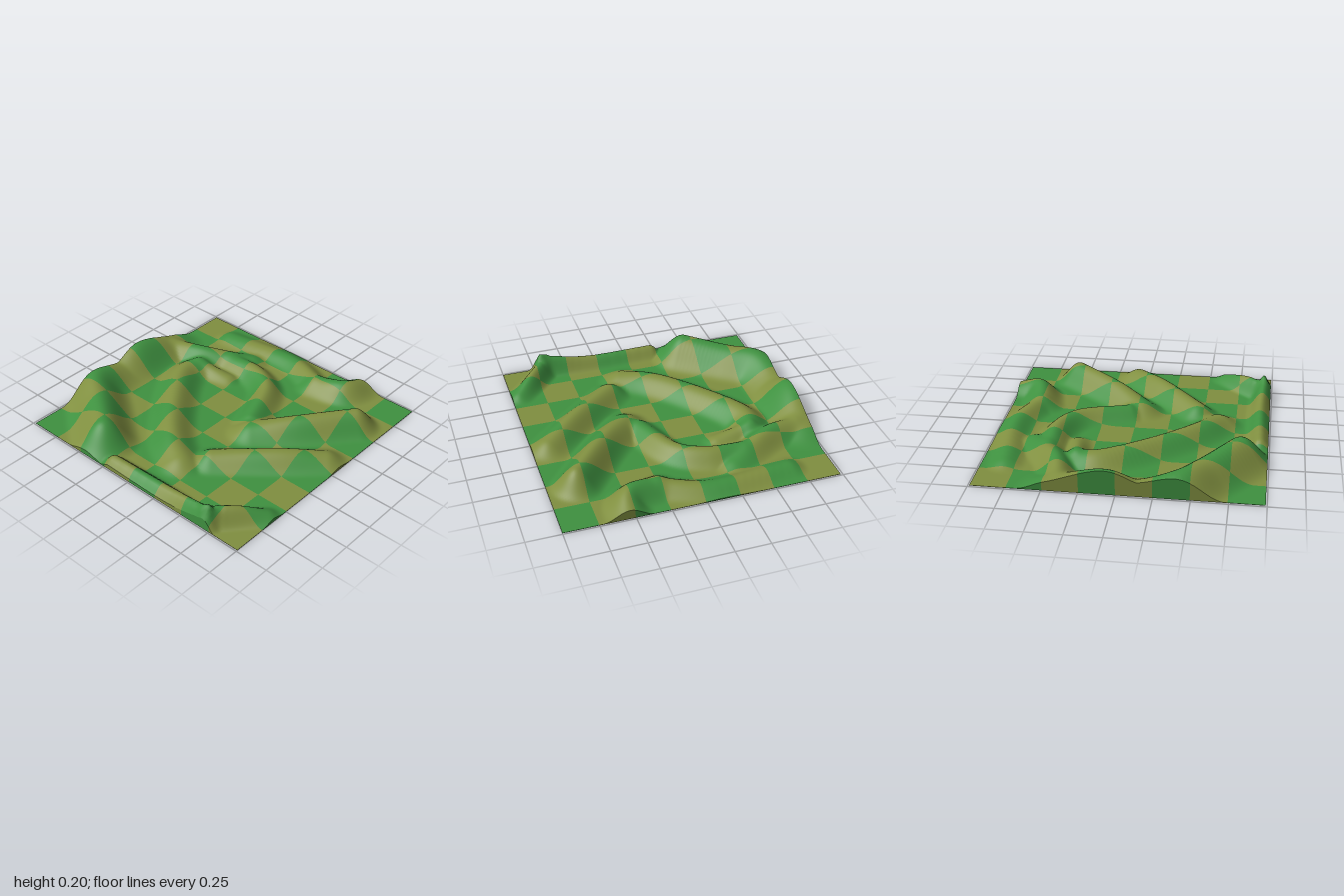
import * as THREE from 'three';

const CELLS = 8, SUB = 16;
const X0 = -0.99, Z0 = -0.985, WIDTH = 1.98, DEPTH = 1.985;
const THICKNESS = 0.002;

// A ridge: half width, then a smooth crest line through [x, z, height] points
function ridge(halfWidth, ...points) {
  const crest = new THREE.CatmullRomCurve3(points.map(([x, z, h]) => new THREE.Vector3(x, h, z)));
  return { halfWidth, samples: crest.getPoints(60) };
}

// Massif curling along the back, with a spur towards the left side
const massif = ridge(0.27, [-0.8, -0.44, 0.2], [-0.58, -0.73, 0.175], [-0.42, -0.92, 0.18],
  [-0.13, -0.98, 0.11], [0.07, -0.98, 0.185], [0.42, -0.95, 0.08]);
const spur = ridge(0.17, [0.4, -0.88, 0.09], [0.46, -0.65, 0.11], [0.66, -0.32, 0.05]);

// Spiral around the basin
const innerRidge = ridge(0.2, [-0.61, 0.13, 0.075], [-0.49, -0.06, 0.1], [-0.19, -0.34, 0.105],
  [0.18, -0.58, 0.105], [0.33, -0.57, 0.09]);
const innerSpur = ridge(0.12, [0.33, -0.57, 0.09], [0.37, -0.3, 0.04]);
const hook = ridge(0.16, [0.55, -0.42, 0.08], [0.54, -0.16, 0.1], [0.43, 0.04, 0.1], [0.07, 0.2, 0.085]);

// Diagonal front ridges
const longDiagonal = ridge(0.18, [-0.45, 0.28, 0.09], [-0.12, 0.66, 0.11], [0.08, 0.88, 0.08]);
const tallDiagonal = ridge(0.2, [-0.02, 0.28, 0.09], [0.2, 0.5, 0.135], [0.55, 0.79, 0.155]);

// Border ridges along both sides
const leftBorder = ridge(0.15, [0.82, -0.66, 0.045], [0.87, -0.05, 0.065], [0.76, 0.27, 0.085]);
const leftHump = ridge(0.18, [0.75, 0.28, 0.09], [0.82, 0.5, 0.122], [1, 0.55, 0.06]);
const rightBorder = ridge(0.11, [-0.93, -0.2, 0.08], [-0.92, 0.35, 0.09], [-0.94, 0.7, 0.15]);
const rightTail = ridge(0.12, [-0.92, 0.68, 0.13], [-0.77, 0.81, 0.11], [-0.63, 0.94, 0.05]);

const RIDGES = [massif, spur, innerRidge, innerSpur, hook, longDiagonal, tallDiagonal,
  leftBorder, leftHump, rightBorder, rightTail];

// Blend the ridges with a soft maximum
function heightAt(x, z) {
  let sum = 0;
  for (const { halfWidth, samples } of RIDGES) {
    let best = 0;
    for (const p of samples) {
      const d = Math.hypot(x - p.x, z - p.z) / halfWidth;
      if (d < 1) best = Math.max(best, p.y * (0.5 + 0.5 * Math.cos(Math.PI * d)));
    }
    sum += best ** 5;
  }
  // rough crag near the front corner
  const crag = Math.exp(-((x + 0.94) ** 2 + (z - 0.72) ** 2) / 0.006);
  return THICKNESS + sum ** 0.2 * (1 + 0.12 * crag * Math.sin(75 * x + 30 * z) * Math.sin(65 * z));
}

// Surface point for u, v in 0..1; high ground leans out at the back
function terrainPoint(u, v) {
  const x = X0 + u * WIDTH, z = Z0 + v * DEPTH;
  const y = heightAt(x, z);
  return [x, y, z - 0.083 * y * Math.max(0, (-z - 0.7) / 0.285)];
}

// Grid surface with its cells sorted into two colour groups
function checkerSurface(name, nu, nv, pointAt, parityAt, materials) {
  const positions = [], faces = [[], []];
  for (let i = 0; i <= nu; i++) {
    for (let j = 0; j <= nv; j++) positions.push(...pointAt(i / nu, j / nv));
  }
  for (let i = 0; i < nu; i++) {
    for (let j = 0; j < nv; j++) {
      const a = i * (nv + 1) + j, b = a + nv + 1;
      faces[parityAt((i + 0.5) / nu, (j + 0.5) / nv)].push(a, b, b + 1, a, b + 1, a + 1);
    }
  }
  const geometry = new THREE.BufferGeometry();
  geometry.setAttribute('position', new THREE.Float32BufferAttribute(positions, 3));
  geometry.setIndex([...faces[0], ...faces[1]]);
  geometry.addGroup(0, faces[0].length, 0);
  geometry.addGroup(faces[0].length, faces[1].length, 1);
  geometry.computeVertexNormals();
  const mesh = new THREE.Mesh(geometry, materials);
  mesh.name = name;
  return mesh;
}

export function createModel() {
  const green = new THREE.MeshStandardMaterial({ color: 0x3f9140, side: THREE.DoubleSide });
  green.name = 'grass green';
  const olive = new THREE.MeshStandardMaterial({ color: 0x808f40, side: THREE.DoubleSide });
  olive.name = 'olive';
  const materials = [green, olive];
  const parity = (u, v) => (Math.floor(u * CELLS) + Math.floor(v * CELLS)) % 2;
  const n = CELLS * SUB;

  const group = new THREE.Group();
  group.name = 'terrain tile';

  // rolling top surface
  group.add(checkerSurface('hills', n, n, (v, u) => terrainPoint(u, v), parity, materials));

  // flat underside
  group.add(checkerSurface('underside', CELLS, CELLS,
    (u, v) => [X0 + u * WIDTH, 0, Z0 + v * DEPTH], parity, materials));

  // side walls from the ground up to the edge of the hills
  const edges = {
    frontWall: (t) => [t, 1],
    backWall: (t) => [1 - t, 0],
    leftWall: (t) => [1, 1 - t],
    rightWall: (t) => [0, t],
  };
  for (const [name, edge] of Object.entries(edges)) {
    const wallPoint = (t, s) => {
      const [u, v] = edge(t);
      const [x, y, z] = terrainPoint(u, v);
      const baseZ = Z0 + v * DEPTH;
      return [x, y * s, baseZ + (z - baseZ) * s];
    };
    const wallParity = (t) => parity(...edge(t).map((c) => Math.min(c, 0.999)));
    group.add(checkerSurface(name, n, 1, wallPoint, wallParity, materials));
  }
  return group;
}
